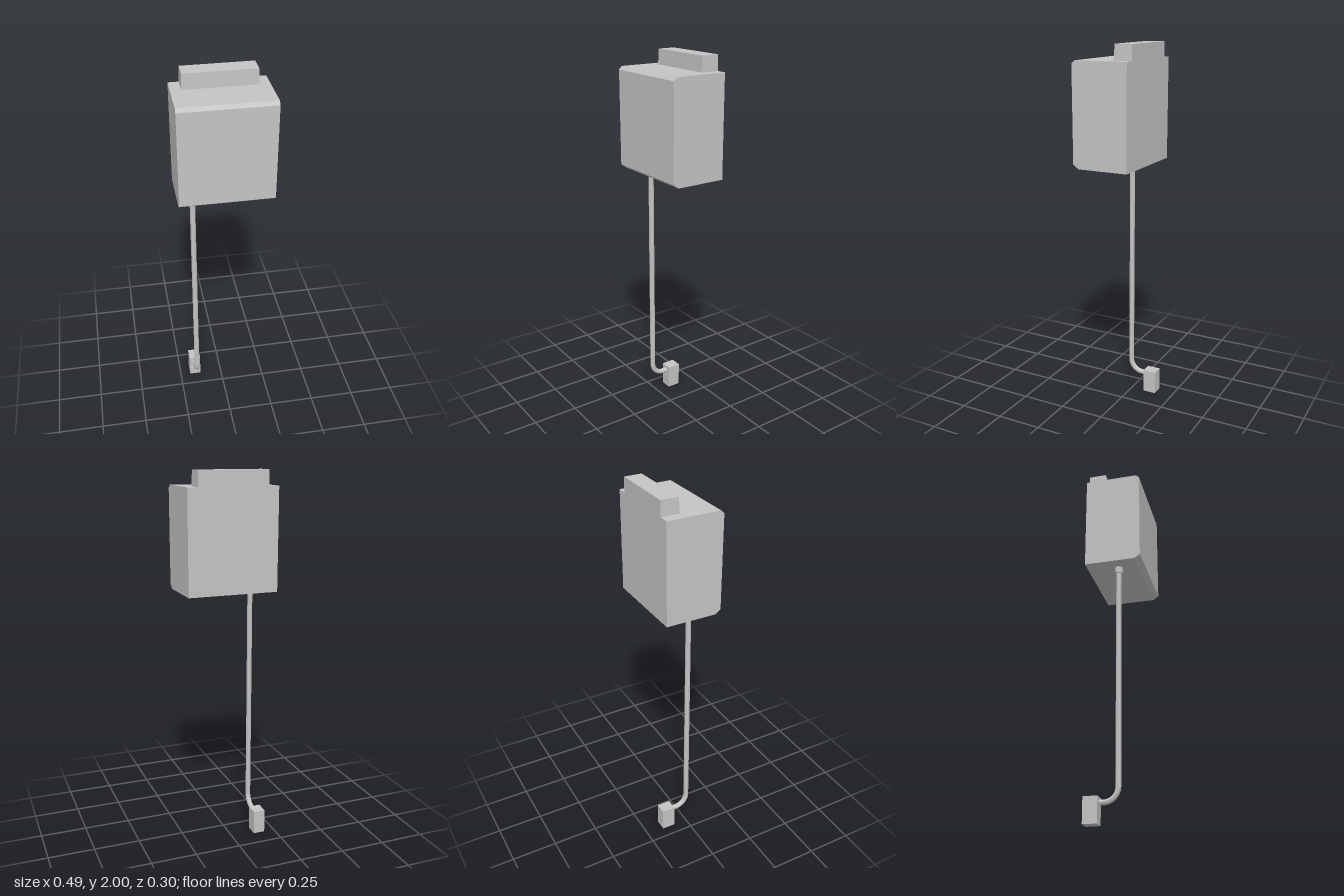
import * as THREE from 'three';

export function createModel() {
  const model = new THREE.Group();
  model.name = 'wallCistern';
  const grey = new THREE.MeshStandardMaterial({ color: 0xc4c4c4, flatShading: true });
  grey.name = 'grey';

  const add = (name, geometry, x = 0, y = 0, z = 0) => {
    const mesh = new THREE.Mesh(geometry, grey);
    mesh.name = name;
    mesh.position.set(x, y, z);
    model.add(mesh);
    return mesh;
  };

  // Tank: side profile (z, y) with chamfered front edges, extruded across x
  const profile = new THREE.Shape([
    [-0.152, 1.38], [0.122, 1.38], [0.152, 1.402],
    [0.152, 1.903], [0.134, 1.92], [-0.152, 1.92],
  ].map(([z, y]) => new THREE.Vector2(-z, y)));
  const tank = new THREE.ExtrudeGeometry(profile, { depth: 0.486, bevelEnabled: false });
  tank.translate(0, 0, -0.243).rotateY(Math.PI / 2);
  add('tank', tank);

  // Raised block at the back of the lid, slightly tapered, flush with the rear
  const block = new THREE.BoxGeometry(0.378, 0.08, 0.098);
  const p = block.attributes.position;
  for (let i = 0; i < p.count; i++) {
    if (p.getY(i) > 0) {
      p.setX(i, p.getX(i) * 0.985);
      if (p.getZ(i) > 0) p.setZ(i, p.getZ(i) - 0.003);
    }
  }
  add('lidBlock', block, 0, 1.96, -0.103);

  // Flush pipe: straight drop, then a quarter bend to the rear
  const px = -0.16, pz = 0.016, bend = 0.07, low = 0.104;
  const path = new THREE.CurvePath();
  const v = (y, z) => new THREE.Vector3(px, y, z);
  const bendStart = v(low + bend, pz), bendEnd = v(low, pz - bend);
  add('pipe', new THREE.CylinderGeometry(0.0145, 0.0145, 1.38 - bendStart.y, 8, 1, true),
    px, (1.38 + bendStart.y) / 2, pz);
  const k = bend * 0.5523;
  path.add(new THREE.CubicBezierCurve3(
    bendStart, v(low + bend - k, pz), v(low, pz - bend + k), bendEnd));
  path.add(new THREE.LineCurve3(bendEnd, v(low, -0.09)));
  add('pipeBend', new THREE.TubeGeometry(path, 10, 0.0145, 8, false));

  // Collar under the tank
  add('collar', new THREE.CylinderGeometry(0.0225, 0.0225, 0.036, 8), px, 1.363, pz);

  // Outlet block at the foot of the pipe
  add('outletBlock', new THREE.BoxGeometry(0.064, 0.132, 0.074), px, 0.066, -0.115);

  return model;
}
